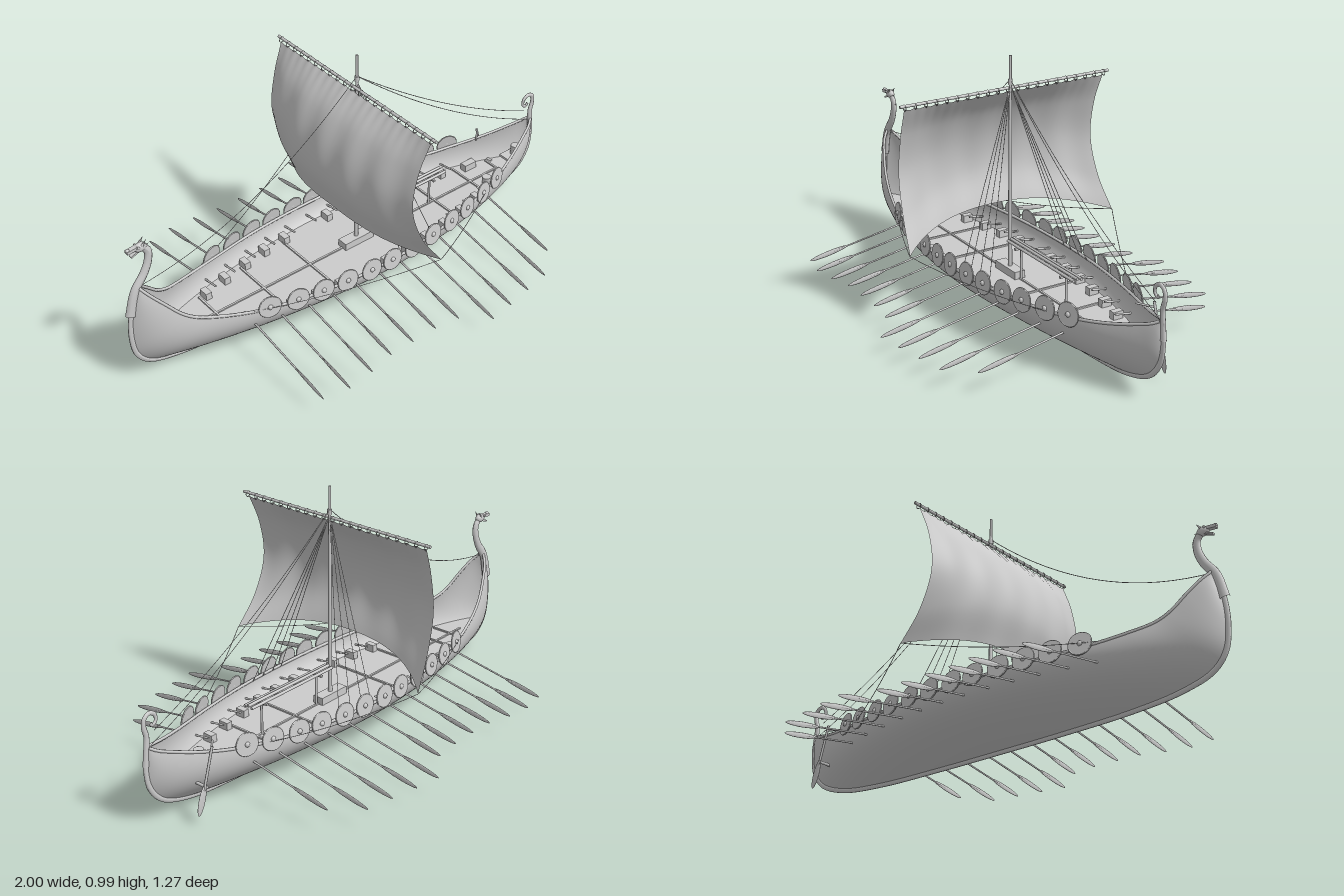
import * as THREE from 'three';
import { ParametricGeometry } from 'three/addons/geometries/ParametricGeometry.js';

const V = (x, y, z = 0) => new THREE.Vector3(x, y, z);
const grey = new THREE.MeshStandardMaterial({ color: 0xcccccc });
const thin = new THREE.MeshStandardMaterial({ color: 0xcccccc, side: THREE.DoubleSide });
const lerp = THREE.MathUtils.lerp;

// Hull stations: keel x, keel y, gunwale x, gunwale y, half width
const stations = [
  [-0.95, 0.425, -0.94, 0.43, 0.008], [-0.978, 0.32, -0.915, 0.4, 0.034],
  [-0.986, 0.22, -0.87, 0.35, 0.06], [-0.97, 0.13, -0.82, 0.295, 0.082],
  [-0.92, 0.075, -0.77, 0.263, 0.1], [-0.8, 0.038, -0.67, 0.237, 0.135],
  [-0.6, 0.018, -0.52, 0.215, 0.178], [-0.3, 0.011, -0.28, 0.205, 0.222],
  [0, 0.01, 0, 0.2, 0.24], [0.3, 0.011, 0.28, 0.205, 0.222],
  [0.6, 0.018, 0.52, 0.215, 0.178], [0.8, 0.04, 0.7, 0.232, 0.125],
  [0.92, 0.085, 0.82, 0.255, 0.08], [0.972, 0.15, 0.9, 0.278, 0.047],
  [0.985, 0.22, 0.95, 0.295, 0.025], [0.98, 0.305, 0.975, 0.31, 0.008],
];
const keelCurve = new THREE.CatmullRomCurve3(stations.map(s => V(s[0], s[1])));
const railCurve = new THREE.CatmullRomCurve3(stations.map(s => V(s[2], s[3], s[4])));
const fullness = h => 1 - Math.pow(1 - h, 2.2);
const railSamples = railCurve.getPoints(300);
const railAt = x => railSamples.reduce((a, b) => Math.abs(b.x - x) < Math.abs(a.x - x) ? b : a);

// Point on the hull skin: t along the ship, h from keel (0) to gunwale (1)
function hullPoint(t, h, side, out) {
  const k = keelCurve.getPoint(t), r = railCurve.getPoint(t);
  return out.set(lerp(k.x, r.x, h), lerp(k.y, r.y, h), side * r.z * fullness(h));
}

// Tube whose rings are scaled by radius(t) and squeezed sideways
function taperedTube(curve, radius, squeeze = 1, segs = 48, sides = 10) {
  const g = new THREE.TubeGeometry(curve, segs, 1, sides), p = g.attributes.position;
  for (let i = 0; i < p.count; i++) {
    const t = Math.floor(i / (sides + 1)) / segs, c = curve.getPointAt(t);
    const v = V(p.getX(i), p.getY(i), p.getZ(i)).sub(c).multiplyScalar(radius(t));
    p.setXYZ(i, c.x + v.x, c.y + v.y, c.z + v.z * squeeze);
  }
  g.computeVertexNormals();
  return g;
}

export function createModel() {
  const ship = new THREE.Group();
  ship.name = 'longship';
  const add = (name, geo, pos = [0, 0, 0], parent = ship, mat = grey) => {
    const m = new THREE.Mesh(geo, mat);
    m.name = name;
    m.position.set(...pos);
    parent.add(m);
    return m;
  };
  const box = (name, size, pos, parent) => add(name, new THREE.BoxGeometry(...size), pos, parent);
  // Straight round bar between two points
  const bar = (name, a, b, r1, r2 = r1, parent = ship, sides = 8) => {
    const m = add(name, new THREE.CylinderGeometry(r2, r1, a.distanceTo(b), sides), [0, 0, 0], parent);
    m.position.copy(a).lerp(b, 0.5);
    m.quaternion.setFromUnitVectors(V(0, 1, 0), b.clone().sub(a).normalize());
    return m;
  };
  const rope = (name, a, b, sag = 0) => {
    const mid = a.clone().lerp(b, 0.5).add(V(0, -2 * sag, 0));
    add(name, new THREE.TubeGeometry(new THREE.QuadraticBezierCurve3(a, mid, b), 20, 0.0014, 4));
  };

  // Hull skins and gunwales
  for (const side of [1, -1]) {
    const skin = new ParametricGeometry((u, v, out) => hullPoint(u, v, side, out), 96, 20);
    skin.computeVertexNormals();
    add('hullSide', skin, [0, 0, 0], ship, thin);
    const rail = new THREE.CatmullRomCurve3(stations.map(s => V(s[2], s[3], side * s[4])));
    add('gunwale', new THREE.TubeGeometry(rail, 90, 0.006, 6));
  }
  add('keel', taperedTube(keelCurve, () => 0.012, 0.6, 120));

  // Deck fitted to the inside of the hull, with cross beams
  const deckY = 0.13;
  const deckEdge = t => {
    const k = keelCurve.getPoint(t), r = railCurve.getPoint(t);
    const h = Math.max(0, (deckY - k.y) / (r.y - k.y));
    return V(lerp(k.x, r.x, h), deckY, 0.99 * r.z * fullness(h));
  };
  const deck = new ParametricGeometry((u, v, out) => {
    const e = deckEdge(lerp(0.205, 0.86, u));
    out.set(e.x, deckY, e.z * (2 * v - 1));
  }, 50, 2);
  deck.computeVertexNormals();
  add('deck', deck, [0, 0, 0], ship, thin);
  for (const x of [-0.73, -0.63, -0.41, -0.19, 0.24, 0.45, 0.65, 0.8])
    box('deckBeam', [0.008, 0.008, 1.5 * railAt(x).z], [x, deckY + 0.002, 0]);
  box('deckRidge', [1.6, 0.006, 0.008], [0, deckY + 0.002, 0]);

  // Dragon neck and head on the bow
  const neck = new THREE.CatmullRomCurve3([V(-0.98, 0.32), V(-0.952, 0.42), V(-0.91, 0.48),
    V(-0.889, 0.53), V(-0.888, 0.57), V(-0.91, 0.598)]);
  add('neck', taperedTube(neck, t => lerp(0.022, 0.014, t), 0.65));
  const head = new THREE.Group();
  head.name = 'dragonHead';
  head.position.set(-0.915, 0.598, 0);
  ship.add(head);
  add('skull', new THREE.SphereGeometry(0.02, 16, 12), [0, 0, 0], head).scale.set(1.25, 0.9, 0.75);
  const upper = box('upperJaw', [0.045, 0.012, 0.018], [-0.033, 0.004, 0], head);
  upper.rotation.z = 0.1;
  const lower = box('lowerJaw', [0.036, 0.007, 0.014], [-0.024, -0.017, 0], head);
  lower.rotation.z = 0.35;
  add('nostril', new THREE.SphereGeometry(0.008, 10, 8), [-0.05, 0.007, 0], head);
  for (const s of [1, -1]) {
    const ear = add('ear', new THREE.ConeGeometry(0.006, 0.03, 6), [0.012, 0.02, s * 0.01], head);
    ear.rotation.z = -0.7;
    add('eye', new THREE.SphereGeometry(0.005, 8, 6), [-0.012, 0.009, s * 0.013], head);
  }
  for (let i = 0; i < 3; i++) {
    const spike = add('mane', new THREE.ConeGeometry(0.006, 0.022, 5), [0.026 + i * 0.006, -0.002 - i * 0.017, 0], head);
    spike.rotation.z = -1.2 - i * 0.2;
  }

  // Curled stern post
  const curl = new THREE.CatmullRomCurve3([V(0.985, 0.24), V(0.978, 0.31), V(0.976, 0.35), V(0.985, 0.39),
    V(0.98, 0.42), V(0.957, 0.432), V(0.934, 0.418), V(0.931, 0.394), V(0.947, 0.382), V(0.957, 0.395)]);
  add('sternCurl', taperedTube(curl, t => lerp(0.014, 0.006, t), 0.7, 70));

  // Shields along both gunwales
  const shieldX = [-0.515, -0.405, -0.3, -0.195, -0.085, 0.015, 0.125, 0.23, 0.34, 0.44, 0.55, 0.65];
  const oarX = [-0.565, -0.46, -0.35, -0.245, -0.14, -0.03, 0.075, 0.185, 0.29, 0.4, 0.51, 0.615];
  const oarEnd = [0.56, 0.58, 0.57, 0.55, 0.55, 0.55, 0.56, 0.635, 0.62, 0.6, 0.58, 0.49];
  for (const s of [1, -1]) {
    for (const x of shieldX) {
      const r = railAt(x), shield = new THREE.Group();
      shield.name = 'shield';
      shield.position.set(x, r.y + 0.012, s * (r.z + 0.008));
      shield.rotation.set(-s * 0.12, s * Math.atan(0.48 * x), 0, 'YXZ');
      ship.add(shield);
      add('shieldBoard', new THREE.CylinderGeometry(0.044, 0.044, 0.005, 24), [0, 0, 0], shield).rotation.x = Math.PI / 2;
      add('shieldRim', new THREE.TorusGeometry(0.043, 0.003, 6, 24), [0, 0, 0], shield);
      add('shieldBoss', new THREE.SphereGeometry(0.01, 10, 8), [0, 0, s * 0.003], shield).scale.z = 0.7;
    }
    // Oars with upright blades, and a rowing bench for each
    oarX.forEach((x, i) => {
      const w = railAt(x).z, end = oarEnd[i], inner = w - 0.075;
      const oar = new THREE.Group();
      oar.name = 'oar';
      oar.position.set(x, 0.165, s * inner);
      oar.rotation.x = s * 0.172;
      ship.add(oar);
      const len = (end - inner) / Math.cos(0.172);
      bar('oarShaft', V(0, 0, 0), V(0, 0, s * (len - 0.1)), 0.0042, 0.0035, oar, 6);
      const blade = new THREE.SphereGeometry(1, 8, 12).rotateX(Math.PI / 2);
      add('oarBlade', blade, [0, 0, s * (len - 0.085)], oar).scale.set(0.003, 0.011, 0.085);
      const bx = x - 0.04 + (x > 0 ? 0.005 : 0);
      if (Math.abs(x) > 0.04) box('bench', [0.026, 0.03, 0.042], [bx, deckY + 0.015, s * (railAt(bx).z - 0.055)]);
    });
  }

  // Mast, yard and the lacing of the sail
  const mastX = 0.04;
  bar('mast', V(mastX, 0.05, 0), V(mastX, 0.99, 0), 0.009, 0.005, ship, 12);
  bar('mastCollar', V(mastX, 0.88, 0), V(mastX, 0.9, 0), 0.009);
  box('mastStep', [0.14, 0.03, 0.045], [mastX, deckY + 0.015, 0]);
  bar('yard', V(0.024, 0.862, -0.45), V(0.024, 0.862, 0.45), 0.006);
  for (let i = 0; i <= 20; i++)
    add('lacing', new THREE.TorusGeometry(0.011, 0.0018, 4, 12), [0.023, 0.856, lerp(-0.43, 0.43, i / 20)]);

  // Billowing sail: blend of a deep centre curve and a shallower edge curve
  const centreCurve = new THREE.CatmullRomCurve3([V(0.02, 0.85), V(-0.06, 0.75), V(-0.11, 0.63), V(-0.122, 0.51), V(-0.085, 0.372)]);
  const edgeCurve = new THREE.CatmullRomCurve3([V(0.02, 0.85), V(-0.025, 0.73), V(-0.045, 0.58), V(0, 0.43), V(0.075, 0.31)]);
  const sail = new ParametricGeometry((u, v, out) => {
    const s = 2 * u - 1, k = Math.pow(Math.abs(s), 2.6);
    const c = centreCurve.getPoint(v), e = edgeCurve.getPoint(v);
    const ripple = 0.004 * Math.sin(s * 17) * Math.sin(Math.PI * v);
    const scallop = 0.006 * Math.abs(Math.sin(u * 20 * Math.PI)) * Math.pow(1 - v, 8);
    const z = s * (0.43 - 0.012 * Math.sin(Math.PI * v) + 0.02 * v * v);
    out.set(lerp(c.x, e.x, k) + ripple, lerp(c.y, e.y, Math.pow(s, 2)) - scallop, z);
  }, 80, 28);
  sail.computeVertexNormals();
  add('sail', sail, [0, 0, 0], ship, thin);

  // Stays, shrouds and sheets
  rope('forestay', V(mastX, 0.9), V(-0.945, 0.43), 0.1);
  rope('backstay', V(mastX, 0.9), V(0.94, 0.36), 0.04);
  rope('backstay', V(mastX, 0.9), V(0.96, 0.31), 0.05);
  for (const s of [1, -1]) {
    for (const x of [0.07, 0.12, 0.18, 0.24]) {
      const r = railAt(x);
      rope('shroud', V(mastX, 0.88), V(x, r.y, s * (r.z - 0.01)));
    }
    for (const x of [-0.6, 0.6]) {
      const r = railAt(x);
      rope('sheet', V(0.075, 0.31, s * 0.45), V(x, r.y, s * r.z), 0.02);
    }
  }

  // Spare spars on a crutch behind the mast
  for (const [z, y] of [[-0.018, 0.268], [0, 0.272], [0.016, 0.268]])
    bar('spareSpar', V(0.05, y, z), V(0.49, y, z), 0.006);
  for (const x of [0.12, 0.42]) {
    bar('crutchPost', V(x, deckY, 0), V(x, 0.262, 0), 0.005);
    box('crutchArm', [0.01, 0.008, 0.06], [x, 0.26, 0]);
  }

  // Steering oar on the right quarter, with tiller and mount
  bar('steeringShaft', V(0.785, 0.275, -0.115), V(0.83, 0.12, -0.115), 0.005);
  const rudder = add('steeringBlade', new THREE.SphereGeometry(1, 12, 12), [0.842, 0.085, -0.115]);
  rudder.scale.set(0.017, 0.058, 0.004);
  rudder.rotation.z = 0.29;
  bar('steeringMount', V(0.82, 0.13, -0.05), V(0.82, 0.13, -0.12), 0.006);
  bar('tiller', V(0.79, 0.255, -0.115), V(0.74, 0.262, -0.07), 0.004);

  // Cargo on the aft deck
  add('bucket', new THREE.CylinderGeometry(0.019, 0.016, 0.035, 16), [0.695, deckY + 0.018, 0.05]);
  add('barrel', new THREE.CylinderGeometry(0.019, 0.019, 0.045, 16), [0.895, deckY + 0.06, 0.01]);
  box('sternPlatform', [0.1, 0.01, 0.05], [0.89, deckY + 0.035, 0]);
  box('chest', [0.06, 0.03, 0.03], [0.71, deckY + 0.015, -0.075]);
  return ship;
}
